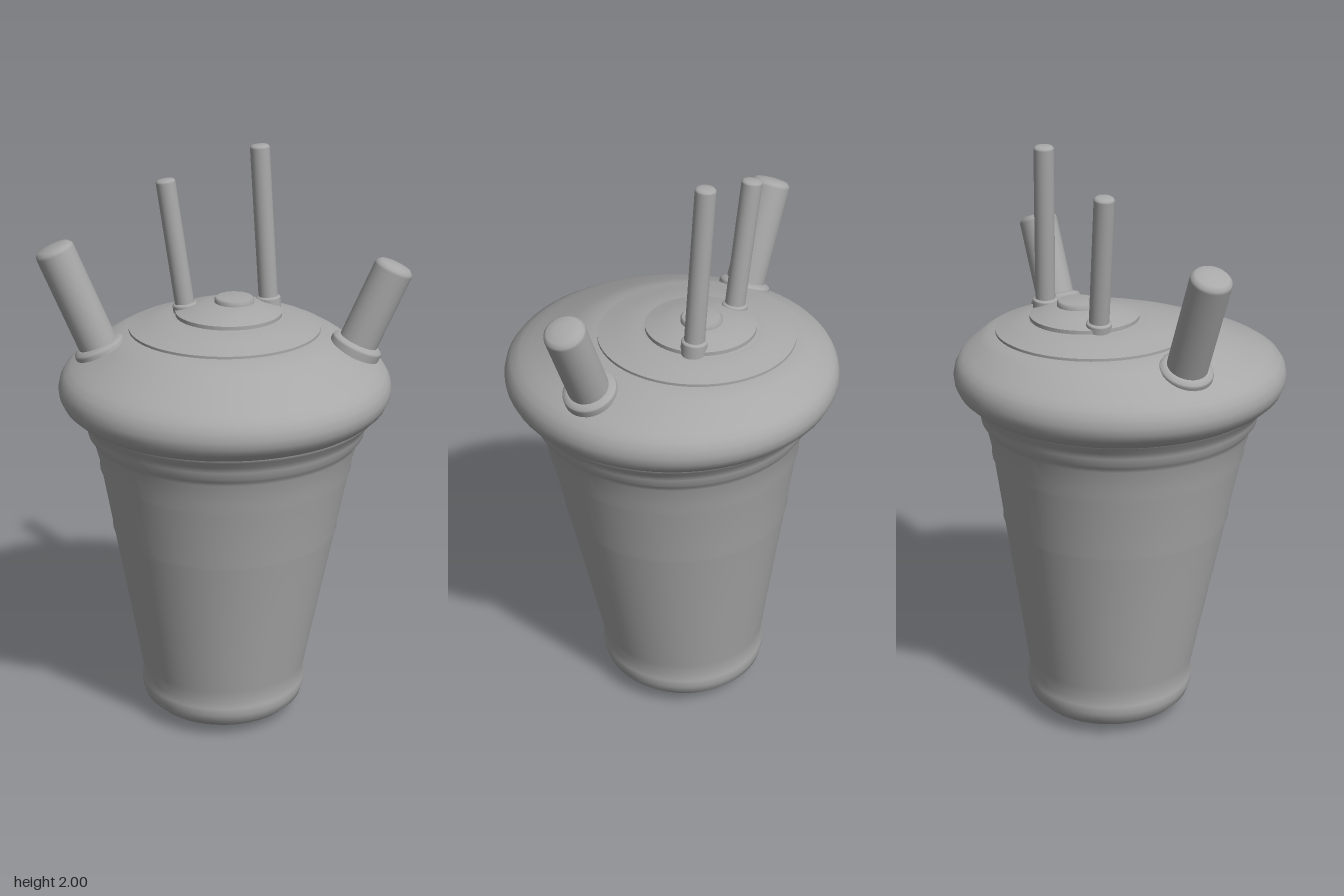
import * as THREE from 'three';

const grey = new THREE.MeshStandardMaterial({ color: 0xa8a8a8 });
grey.name = 'grey';

// Lathe whose rings drift sideways: each point is [radius, y, centreX, centreZ]
function driftingLathe(name, points) {
  const geo = new THREE.LatheGeometry(points.map(p => new THREE.Vector2(p[0], p[1])), 64);
  const pos = geo.attributes.position;
  for (let i = 0; i < pos.count; i++) {
    const p = points[i % points.length];
    pos.setX(i, pos.getX(i) + p[2]);
    pos.setZ(i, pos.getZ(i) + p[3]);
  }
  const mesh = new THREE.Mesh(geo, grey);
  mesh.name = name;
  return mesh;
}

// Round rod from a to b with a softly domed end
function rod(name, a, b, radius, dome) {
  const from = new THREE.Vector3(...a), to = new THREE.Vector3(...b);
  const dir = to.clone().sub(from), len = dir.length();
  const profile = [[0, 0], [radius, 0], [radius, 0], [radius, len - dome], [radius * 0.97, len - dome * 0.6],
    [radius * 0.8, len - dome * 0.2], [radius * 0.4, len - dome * 0.04], [0, len]];
  const mesh = new THREE.Mesh(
    new THREE.LatheGeometry(profile.map(p => new THREE.Vector2(...p)), 28), grey);
  mesh.position.copy(from);
  mesh.quaternion.setFromUnitVectors(new THREE.Vector3(0, 1, 0), dir.normalize());
  mesh.name = name;
  return mesh;
}

export function createModel() {
  const model = new THREE.Group();
  model.name = 'cup';

  // Tapered cup body with faint ridges, leaning slightly
  const body = [[0, 0.005], [0.12, 0.008], [0.2, 0.024], [0.255, 0.045], [0.28, 0.07], [0.289, 0.1],
    [0.29, 0.13], [0.282, 0.15], [0.291, 0.2], [0.308, 0.3], [0.343, 0.5], [0.382, 0.72], [0.387, 0.732],
    [0.386, 0.745], [0.42, 0.94], [0.427, 0.955], [0.428, 0.985], [0.446, 1.055], [0.452, 1.07],
    [0.465, 1.085], [0.47, 1.11], [0.476, 1.13], [0.498, 1.155], [0.5, 1.165]];
  model.add(driftingLathe('body', body.map(([r, y]) =>
    [r, y, -0.005 + 0.008 * y, -0.052 + 0.047 * y])));

  // Fat rim
  model.add(driftingLathe('rim', [
    [0.48, 1.15, 0, 0], [0.515, 1.172, 0, 0], [0.54, 1.195, 0, 0], [0.552, 1.22, 0, 0],
    [0.555, 1.245, 0, 0], [0.549, 1.272, 0, 0], [0.535, 1.295, 0, -0.003],
    [0.513, 1.314, 0, -0.012], [0.485, 1.33, 0, -0.024]]));

  // Sloping lid, pushed towards the back
  model.add(driftingLathe('lid', [
    [0.49, 1.327, 0, -0.022], [0.45, 1.35, 0, -0.045], [0.4, 1.377, 0.003, -0.07],
    [0.36, 1.395, 0.005, -0.09], [0.32, 1.402, 0.005, -0.1]]));

  // Stepped discs on top of the lid
  model.add(driftingLathe('lidDisc', [
    [0.323, 1.39, 0.005, -0.1], [0.323, 1.41, 0.005, -0.1], [0.323, 1.41, 0.005, -0.1],
    [0.27, 1.425, 0.01, -0.108], [0.215, 1.44, 0.015, -0.12], [0.195, 1.438, 0.02, -0.124],
    [0.17, 1.445, 0.02, -0.125]]));
  model.add(driftingLathe('innerDisc', [
    [0.18, 1.43, 0.02, -0.125], [0.18, 1.455, 0.02, -0.125], [0.18, 1.455, 0.02, -0.125],
    [0.14, 1.467, 0.025, -0.13], [0.1, 1.478, 0.03, -0.135], [0.06, 1.482, 0.04, -0.14]]));
  model.add(driftingLathe('button', [
    [0.067, 1.475, 0.04, -0.14], [0.067, 1.492, 0.04, -0.14], [0.06, 1.499, 0.04, -0.14],
    [0, 1.5, 0.04, -0.14]]));

  // Thin straws with small collars
  const straws = [
    ['rightStraw', [-0.121, 1.43, -0.16], [-0.187, 1.895, -0.178]],
    ['leftStraw', [0.162, 1.43, -0.19], [0.127, 2.0, -0.207]]];
  for (const [name, a, b] of straws) {
    model.add(rod(name, a, b, 0.033, 0.012));
    const end = a.map((v, i) => v + (b[i] - v) * 0.1);
    model.add(rod(name + 'Collar', a, end, 0.042, 0.01));
  }

  // Thick side pegs in wide collars
  const pegs = [
    ['rightPeg', [-0.395, 1.32, -0.02], [-0.56, 1.715, -0.032]],
    ['leftPeg', [0.415, 1.32, 0.014], [0.56, 1.65, 0.015]]];
  for (const [name, a, b] of pegs) {
    model.add(rod(name, a, b, 0.066, 0.025));
    const end = a.map((v, i) => v + (b[i] - v) * (name === 'leftPeg' ? 0.21 : 0.17));
    model.add(rod(name + 'Collar', a, end, 0.088, 0.02));
  }
  return model;
}
